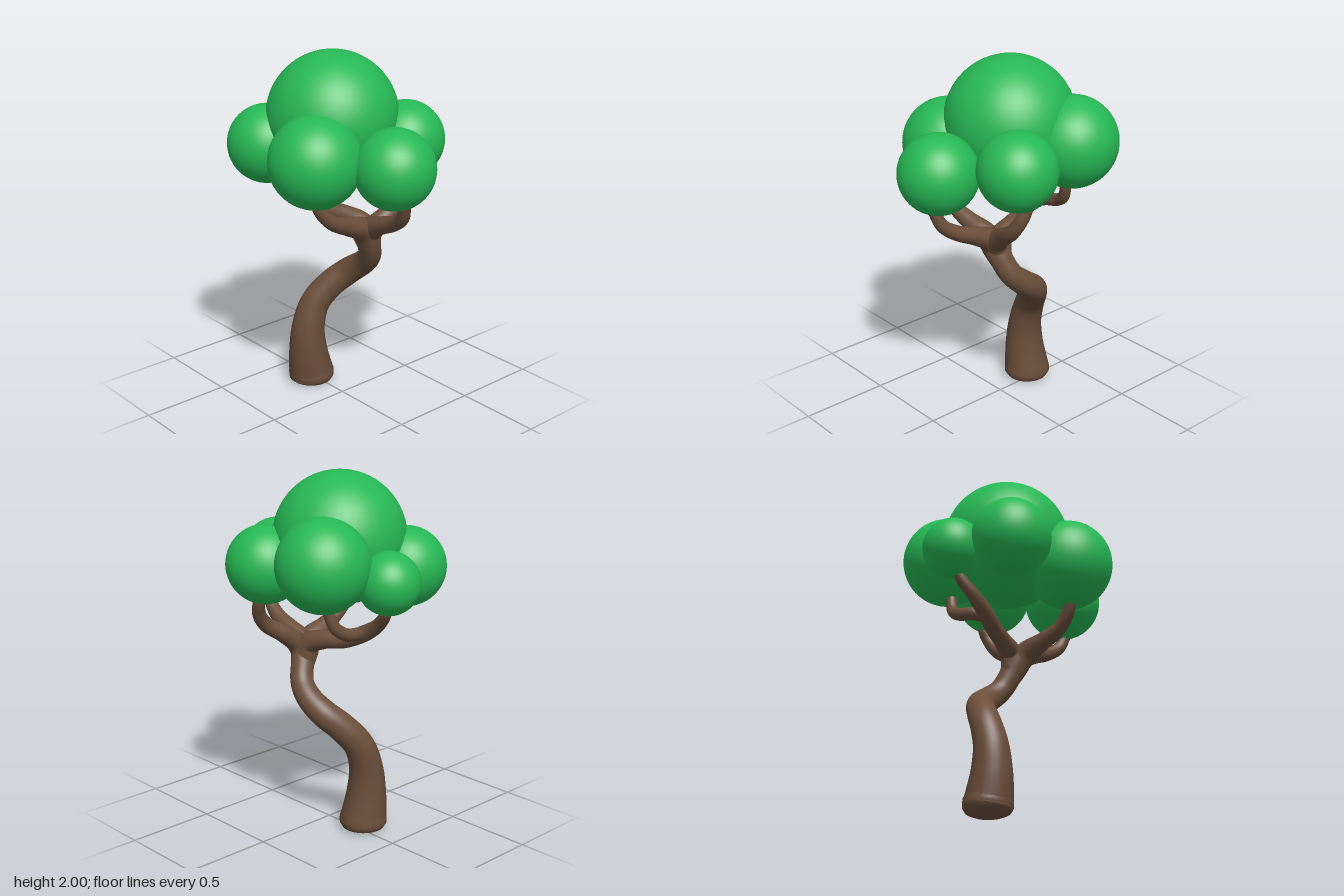
import * as THREE from 'three';

const bark = new THREE.MeshStandardMaterial({ color: 0x6b4f3c });
const leaf = new THREE.MeshStandardMaterial({ color: 0x27b855 });

// Smooth tapering limb through points [x, y, z, radius]
function limb(name, pts, segments = 48, sides = 24) {
  const curve = new THREE.CatmullRomCurve3(pts.map(p => new THREE.Vector3(p[0], p[1], p[2])));
  const geo = new THREE.TubeGeometry(curve, segments, 1, sides, false);
  const pos = geo.attributes.position;
  const v = new THREE.Vector3();
  for (let i = 0; i <= segments; i++) {
    const u = i / segments;
    const centre = curve.getPointAt(u);
    const t = curve.getUtoTmapping(u) * (pts.length - 1);
    const k = Math.min(Math.floor(t), pts.length - 2);
    const r = THREE.MathUtils.lerp(pts[k][3], pts[k + 1][3], t - k);
    for (let j = 0; j <= sides; j++) {
      const n = i * (sides + 1) + j;
      v.fromBufferAttribute(pos, n).sub(centre).multiplyScalar(r).add(centre);
      pos.setXYZ(n, v.x, v.y, v.z);
    }
  }
  const mesh = new THREE.Mesh(geo, bark);
  mesh.name = name;
  return mesh;
}

export function createModel() {
  const tree = new THREE.Group();
  tree.name = 'tree';

  // Rounded foot closing the trunk base
  const footProfile = [[0, 0.003], [0.09, 0.006], [0.118, 0.018], [0.131, 0.04], [0.132, 0.06], [0.128, 0.09]];
  const foot = new THREE.Mesh(
    new THREE.LatheGeometry(footProfile.map(p => new THREE.Vector2(p[0], p[1])), 32), bark);
  foot.position.set(-0.033, 0, -0.24);
  foot.name = 'trunkFoot';
  tree.add(foot);

  // Twisting trunk
  tree.add(limb('trunk', [
    [-0.033, 0.05, -0.24, 0.132], [-0.045, 0.12, -0.24, 0.123], [-0.057, 0.22, -0.24, 0.11],
    [-0.052, 0.36, -0.24, 0.094], [-0.005, 0.5, -0.23, 0.084], [0.075, 0.61, -0.18, 0.08],
    [0.145, 0.69, -0.11, 0.077], [0.168, 0.76, -0.02, 0.07], [0.153, 0.83, 0.055, 0.064],
    [0.12, 0.91, 0.09, 0.064], [0.085, 0.99, 0.108, 0.078], [0.065, 1.05, 0.115, 0.07],
    [0.06, 1.09, 0.115, 0.03], [0.06, 1.1, 0.115, 0.001],
  ], 96, 32));

  // Branches flowing out of the trunk top
  tree.add(limb('rightBranch', [
    [0.1, 0.95, 0.1, 0.06], [0.115, 1.03, 0.13, 0.062], [0.2, 1.1, 0.155, 0.05],
    [0.3, 1.165, 0.185, 0.041], [0.355, 1.24, 0.175, 0.037], [0.375, 1.31, 0.15, 0.033],
    [0.38, 1.4, 0.15, 0.03],
  ]));
  tree.add(limb('leftBranch', [
    [0.1, 0.93, 0.1, 0.06], [0.03, 1.04, 0.125, 0.068], [-0.09, 1.09, 0.14, 0.05],
    [-0.2, 1.14, 0.15, 0.04], [-0.275, 1.22, 0.14, 0.035], [-0.31, 1.33, 0.12, 0.03],
  ]));
  tree.add(limb('frontBranch', [
    [0.1, 0.95, 0.1, 0.06], [0.08, 1.04, 0.15, 0.065], [0.07, 1.085, 0.24, 0.05],
    [0.06, 1.13, 0.35, 0.042], [0.04, 1.19, 0.435, 0.036], [0.01, 1.31, 0.485, 0.03],
  ]));
  tree.add(limb('backBranch', [
    [0.1, 0.95, 0.09, 0.06], [0.09, 1.035, 0.075, 0.065], [0.06, 1.075, -0.03, 0.05],
    [0.02, 1.09, -0.14, 0.046], [-0.015, 1.145, -0.26, 0.045], [-0.02, 1.205, -0.35, 0.037],
    [0.005, 1.29, -0.43, 0.031], [0.02, 1.37, -0.45, 0.028],
  ]));
  tree.add(limb('backTwig', [
    [-0.01, 1.12, -0.21, 0.03], [0.06, 1.155, -0.27, 0.036], [0.15, 1.175, -0.285, 0.035],
    [0.215, 1.22, -0.27, 0.033], [0.245, 1.3, -0.255, 0.03], [0.25, 1.38, -0.25, 0.028],
  ]));

  // Foliage balls: name, x, y, z, radius
  const foliage = [
    ['crown', -0.005, 1.64, -0.075, 0.36],
    ['frontFoliage', -0.006, 1.463, 0.418, 0.217],
    ['leftFrontFoliage', -0.29, 1.49, 0.122, 0.25],
    ['rightFrontFoliage', 0.315, 1.505, 0.16, 0.214],
    ['rightBackFoliage', 0.286, 1.56, -0.255, 0.25],
    ['backFoliage', 0.028, 1.463, -0.471, 0.168],
    ['leftBackFoliage', -0.261, 1.485, -0.322, 0.217],
  ];
  for (const [name, x, y, z, r] of foliage) {
    const ball = new THREE.Mesh(new THREE.SphereGeometry(r, 48, 32), leaf);
    ball.position.set(x, y, z);
    ball.name = name;
    tree.add(ball);
  }
  return tree;
}
